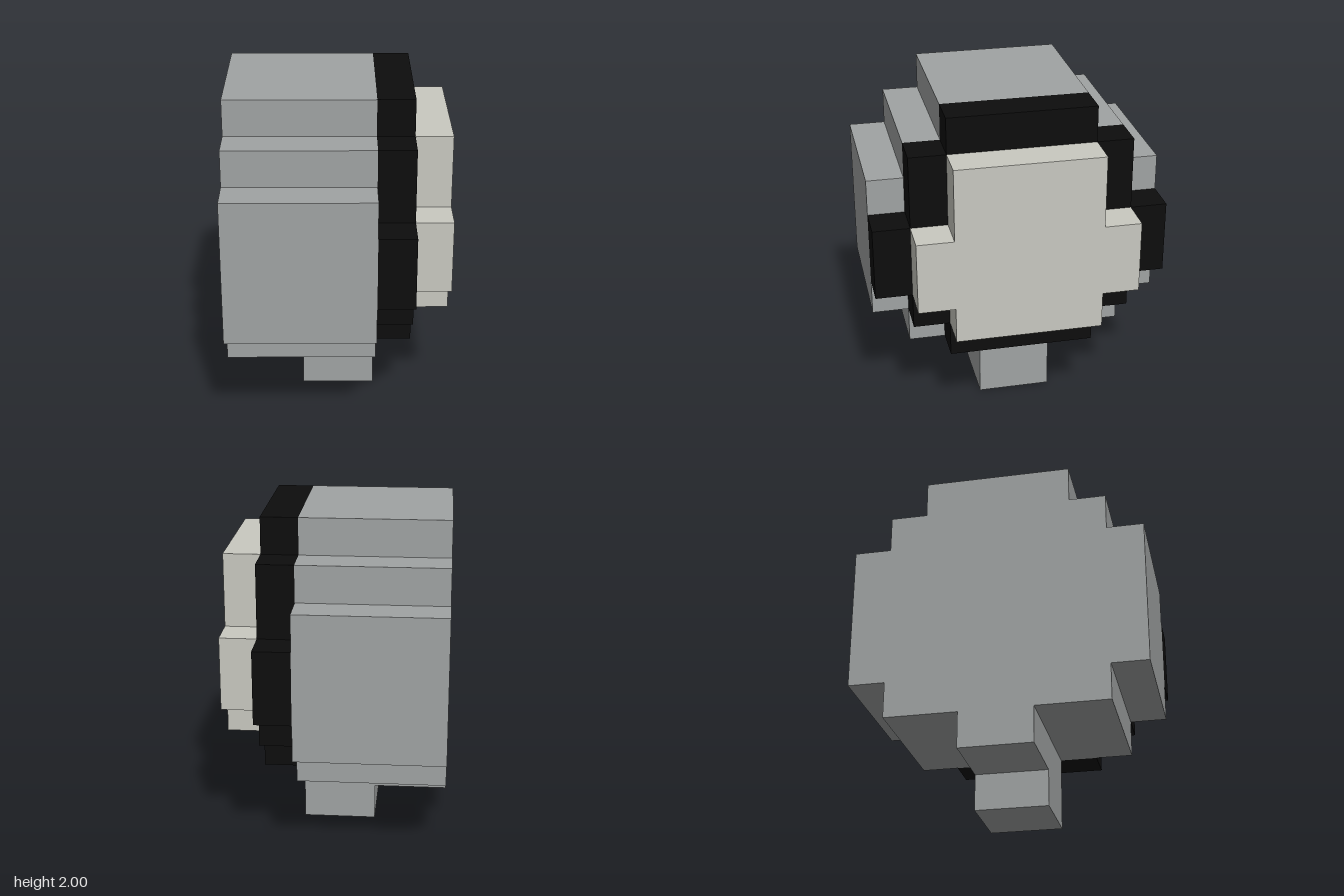
import * as THREE from 'three';

const U = 2 / 9; // edge of one block

const grey = new THREE.MeshStandardMaterial({ color: 0xa0a3a3 });
const black = new THREE.MeshStandardMaterial({ color: 0x0d0d0d });
const ivory = new THREE.MeshStandardMaterial({ color: 0xc8c8c0 });
grey.name = 'grey';
black.name = 'black';
ivory.name = 'ivory';

// Outline mirrored about the middle, from rows of [bottom, top, half width] in blocks
function steppedShape(rows) {
  const right = rows.flatMap(([y0, y1, w]) => [[w, y0], [w, y1]]);
  const left = right.map(([w, y]) => [-w, y]).reverse();
  return new THREE.Shape([...right, ...left].map(([a, b]) => new THREE.Vector2(a * U, b * U)));
}

// Slab with a stepped outline, running from x0 to x1
function slab(name, rows, x0, x1, material) {
  const geometry = new THREE.ExtrudeGeometry(steppedShape(rows), { depth: (x1 - x0) * U, bevelEnabled: false });
  geometry.rotateY(Math.PI / 2).translate(x0 * U, 0, 0);
  const mesh = new THREE.Mesh(geometry, material);
  mesh.name = name;
  return mesh;
}

export function createModel() {
  const model = new THREE.Group();
  model.name = 'blockyHead';

  // Rounded housing, dark rim and raised face plate
  model.add(
    slab('housing', [[2, 3, 3], [3, 7, 4], [7, 8, 3], [8, 9, 2]], -3, 1, grey),
    slab('rim', [[2, 3, 2], [3, 4, 3], [4, 6, 4], [6, 8, 3], [8, 9, 2]], 1, 2, black),
    slab('facePlate', [[3, 4, 2], [4, 6, 3], [6, 8, 2]], 2, 3, ivory),
  );

  // L-shaped stem under the housing
  const outline = [[-1, 0], [1, 0], [1, 2], [-3, 2], [-3, 1], [-1, 1]];
  const stemShape = new THREE.Shape(outline.map(([x, y]) => new THREE.Vector2(x * U, y * U)));
  const stemGeometry = new THREE.ExtrudeGeometry(stemShape, { depth: 2 * U, bevelEnabled: false });
  const stem = new THREE.Mesh(stemGeometry.translate(0, 0, -U), grey);
  stem.name = 'stem';
  model.add(stem);

  return model;
}
